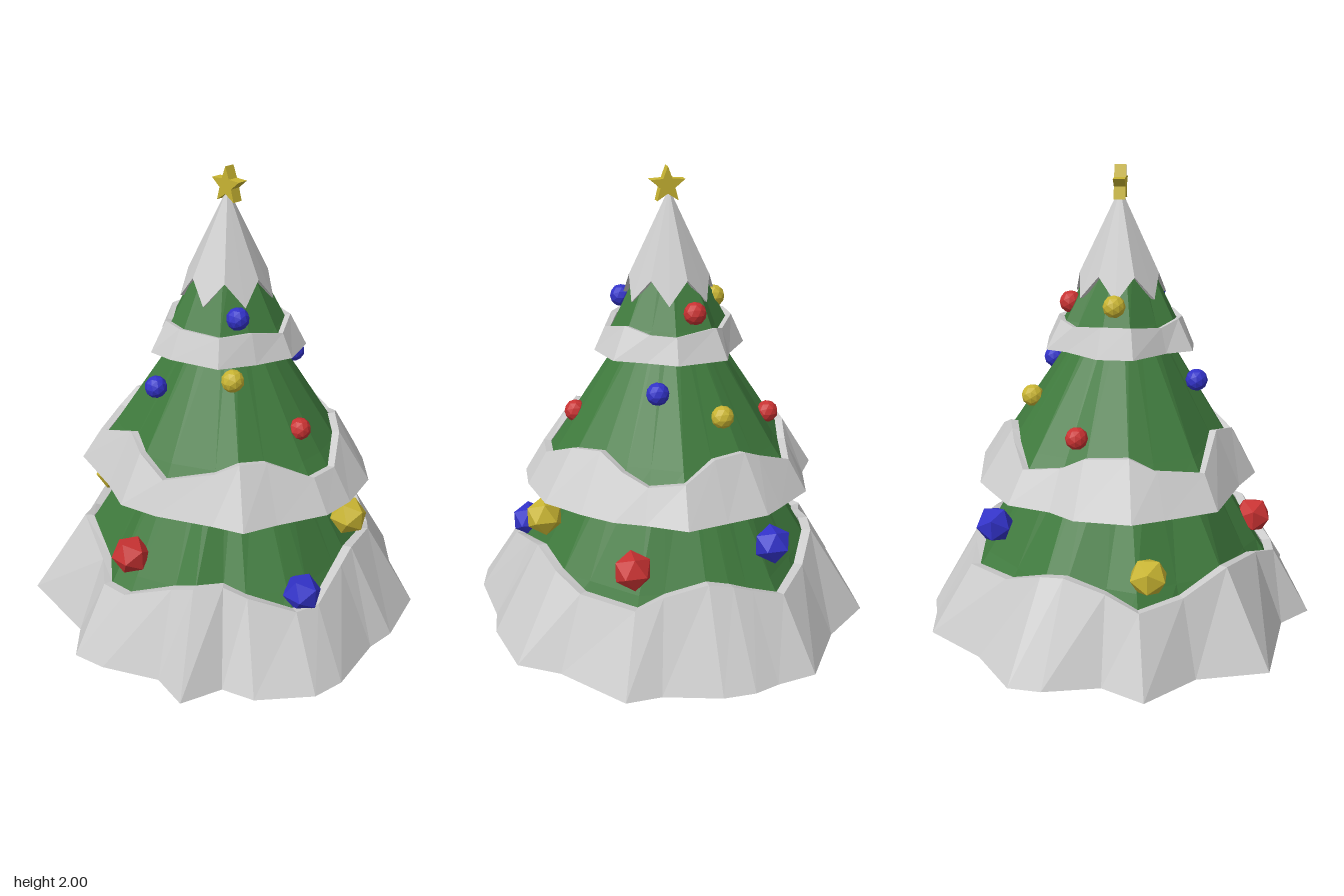
import * as THREE from 'three';

const mat = (color) => new THREE.MeshStandardMaterial({ color, flatShading: true });
const GREEN = mat(0x3f7a3d), SNOW = mat(0xcccccc), BARK = mat(0x64432a);
const RED = mat(0xc83232), YELLOW = mat(0xc8b432), BLUE = mat(0x3232c8);

function add(parent, name, geometry, material, x = 0, y = 0, z = 0) {
  const mesh = new THREE.Mesh(geometry, material);
  mesh.name = name;
  mesh.position.set(x, y, z);
  parent.add(mesh);
  return mesh;
}

// Skin a list of closed rings; each ring is an array of Vector3
function loft(rings) {
  const pos = [];
  const n = rings[0].length;
  for (let r = 0; r < rings.length - 1; r++) {
    for (let i = 0; i < n; i++) {
      const j = (i + 1) % n, a = rings[r], b = rings[r + 1];
      for (const p of [a[i], b[i], a[j], a[j], b[i], b[j]]) pos.push(p.x, p.y, p.z);
    }
  }
  const g = new THREE.BufferGeometry();
  g.setAttribute('position', new THREE.Float32BufferAttribute(pos, 3));
  g.computeVertexNormals();
  return g;
}

// Rim outlines of the three tiers as x, z pairs
const LOWER_RIM = [
  -0.145, -0.727, 0.005, -0.654, 0.203, -0.696, 0.32, -0.685, 0.458, -0.51, 0.667, -0.367, 0.69, -0.224,
  0.718, -0.135, 0.718, -0.02, 0.663, 0.18, 0.667, 0.306, 0.458, 0.495, 0.373, 0.638, 0.149, 0.696,
  0.037, 0.685, -0.188, 0.72, -0.304, 0.696, -0.462, 0.553, -0.497, 0.437, -0.644, 0.379, -0.613, 0.24,
  -0.702, 0.046, -0.725, -0.074, -0.62, -0.174, -0.563, -0.507, -0.311, -0.573];
const MIDDLE_RIM = [
  -0.085, -0.535, 0.11, -0.52, 0.2, -0.46, 0.35, -0.418, 0.447, -0.29, 0.49, -0.23, 0.516, -0.08, 0.54, 0.06,
  0.466, 0.19, 0.42, 0.29, 0.34, 0.387, 0.226, 0.495, 0.06, 0.535, -0.064, 0.53, -0.23, 0.445, -0.346, 0.395,
  -0.385, 0.29, -0.47, 0.1, -0.5, -0.04, -0.44, -0.17, -0.366, -0.4, -0.19, -0.487];
const UPPER_RIM = [
  -0.064, -0.26, 0.06, -0.26, 0.176, -0.174, 0.25, -0.147, 0.27, 0.03, 0.215, 0.128, 0.164, 0.232,
  0.033, 0.275, -0.095, 0.224, -0.21, 0.155, -0.26, -0.02, -0.26, -0.116, -0.17, -0.16];

// Foliage cone with a solid floor and a wavy band of snow over its rim
function makeTier(name, rim, y0, topY, topR, snowY, wave, phase, thick) {
  const tier = new THREE.Group();
  tier.name = name;
  const outline = [];
  for (let i = 0; i < rim.length; i += 2) {
    outline.push({ a: Math.atan2(rim[i + 1], rim[i]), r: Math.hypot(rim[i], rim[i + 1]) });
  }
  const ring = (fn) => outline.map((o) => {
    const { r, y } = fn(o);
    return new THREE.Vector3(r * Math.cos(o.a), y, r * Math.sin(o.a));
  });
  const inset = (o) => o.r - thick;
  const at = (y) => (y - y0) / (topY - y0);
  // the ripples of the rim fade out towards the snow line
  const mean = outline.reduce((s, o) => s + inset(o), 0) / outline.length;
  const bodyR = (o, y) => {
    const t = at(y), fade = Math.max(0, 1 - t * 1.6);
    return THREE.MathUtils.lerp(mean, topR, t) + (inset(o) - mean) * fade;
  };
  const edgeY = (o) => snowY + wave * Math.cos(5 * (o.a - phase));

  add(tier, name + 'Foliage', loft([
    ring(() => ({ r: 0, y: y0 + 0.006 })),
    ring((o) => ({ r: inset(o) + 0.002, y: y0 + 0.006 })),
    ring((o) => ({ r: bodyR(o, snowY), y: snowY })),
    ring(() => ({ r: topR, y: topY })),
    ring(() => ({ r: 0, y: topY }))
  ]), GREEN);

  const rimOuter = ring((o) => ({ r: o.r, y: y0 }));
  add(tier, name + 'Snow', loft([
    rimOuter,
    ring((o) => ({ r: bodyR(o, edgeY(o)) + thick * 1.35, y: edgeY(o) })),
    ring((o) => ({ r: bodyR(o, edgeY(o)) + thick * 0.3, y: edgeY(o) - 0.005 })),
    ring((o) => ({ r: inset(o), y: y0 })),
    rimOuter
  ]), SNOW);
  return tier;
}

// Pointed snow cap with a zigzag lower edge
function makeCap() {
  const ring = (grow, tip) => Array.from({ length: 14 }, (_, i) => {
    const a = Math.PI / 2 + i * Math.PI / 7, low = i % 2;
    const r = tip ? 0 : (low ? 0.165 : 0.142) + grow;
    const y = tip ? 1.925 + grow : (low ? 1.56 : 1.64);
    return new THREE.Vector3(0.005 + r * Math.cos(a), y, r * Math.sin(a));
  });
  return loft([ring(-0.02, true), ring(-0.02, false), ring(0, false), ring(0, true)]);
}

function makeStar() {
  const shape = new THREE.Shape();
  for (let i = 0; i < 10; i++) {
    const r = i % 2 ? 0.027 : 0.063, a = Math.PI / 2 + i * Math.PI / 5;
    shape[i ? 'lineTo' : 'moveTo'](r * Math.cos(a), r * Math.sin(a));
  }
  shape.closePath();
  const g = new THREE.ExtrudeGeometry(shape, { depth: 0.04, bevelEnabled: false });
  return g.translate(0, 0, -0.02).rotateY(Math.PI / 2);
}

export function createModel() {
  const tree = new THREE.Group();
  tree.name = 'decoratedTree';

  add(tree, 'trunk', new THREE.CylinderGeometry(0.143, 0.143, 0.45, 6), BARK, 0.01, 0.225, 0.012);

  tree.add(
    makeTier('lowerTier', LOWER_RIM, 0.353, 1.1, 0.24, 0.64, 0.045, 0, 0.032),
    makeTier('middleTier', MIDDLE_RIM, 0.906, 1.53, 0.09, 1.06, 0.045, -Math.PI / 2, 0.025),
    makeTier('upperTier', UPPER_RIM, 1.385, 1.75, 0.06, 1.48, 0.015, -Math.PI / 2, 0.018)
  );
  add(tree, 'snowCap', makeCap(), SNOW);
  add(tree, 'star', makeStar(), YELLOW, 0.005, 1.937, 0.008);

  // Baubles: coarse large ones below, finer small ones above
  const large = new THREE.IcosahedronGeometry(0.07, 0);
  const small = new THREE.IcosahedronGeometry(0.04, 1);
  const baubles = [
    [large, RED, -0.5, 0.715, 0], [large, RED, 0.465, 0.74, 0.235],
    [large, YELLOW, 0.12, 0.8, 0.49], [large, YELLOW, -0.14, 0.7, -0.5],
    [large, BLUE, -0.175, 0.635, 0.52], [large, BLUE, 0.435, 0.76, -0.27],
    [small, RED, 0, 1.15, 0.345], [small, RED, 0.12, 1.13, -0.34],
    [small, YELLOW, -0.17, 1.34, 0.185], [small, YELLOW, 0.31, 1.205, -0.115],
    [small, BLUE, -0.275, 1.27, -0.08], [small, BLUE, 0.262, 1.29, 0.1],
    [small, BLUE, -0.107, 1.535, 0.15], [small, RED, 0.175, 1.535, -0.05],
    [small, YELLOW, 0.01, 1.545, -0.16]
  ];
  for (const [geometry, material, x, y, z] of baubles) add(tree, 'bauble', geometry, material, x, y, z);
  return tree;
}
